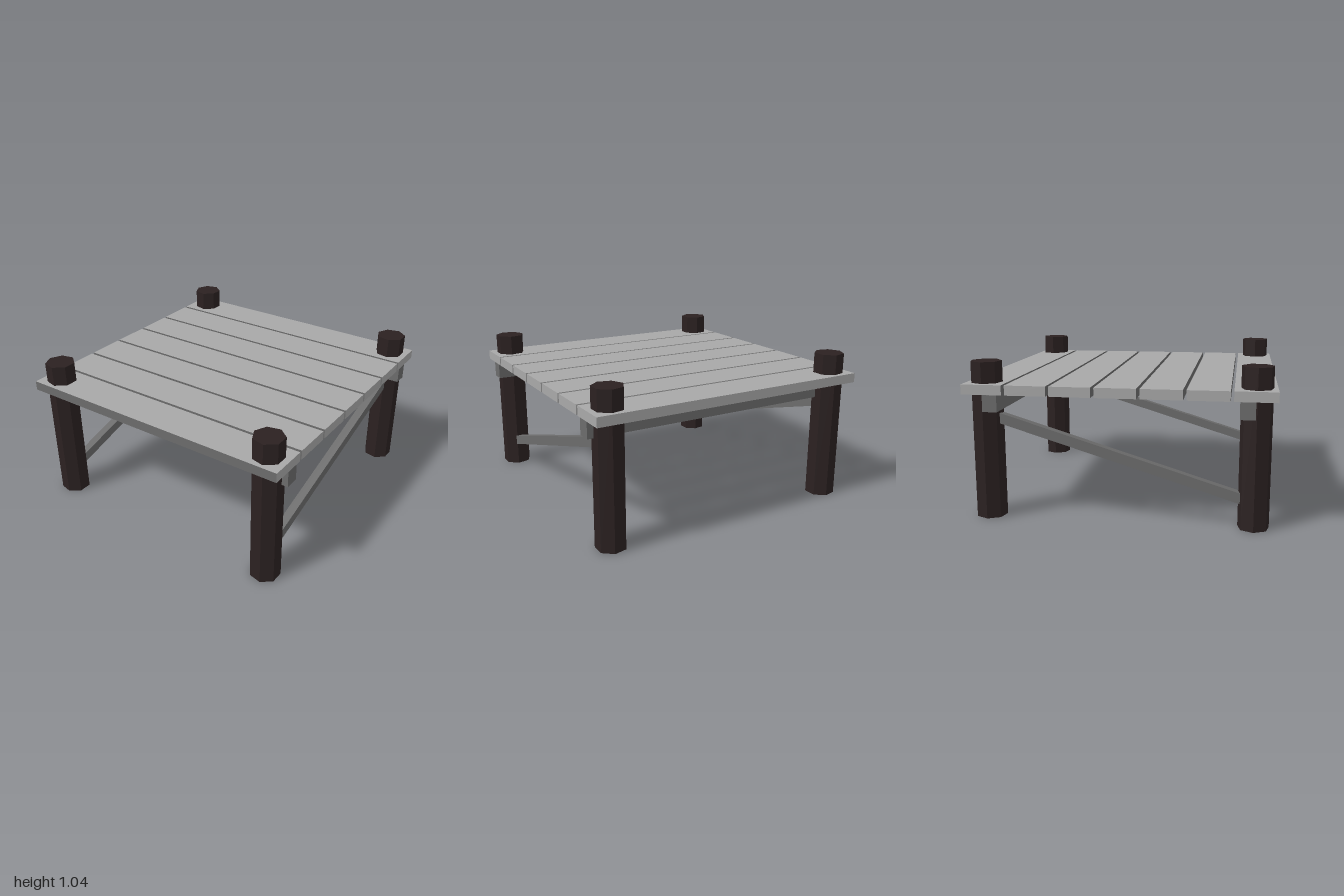
import * as THREE from 'three';

export function createModel() {
  const model = new THREE.Group();
  model.name = 'dock';

  const mat = (name, color, flatShading = false) => {
    const m = new THREE.MeshStandardMaterial({ color, flatShading });
    m.name = name;
    return m;
  };
  const paleWood = mat('paleWood', 0xa8a8a8);
  const greyWood = mat('greyWood', 0x6c6c6c);
  const darkWood = mat('darkWood', 0x2b2121, true);

  const add = (name, geometry, material, x, y, z) => {
    const mesh = new THREE.Mesh(geometry, material);
    mesh.name = name;
    mesh.position.set(x, y, z);
    model.add(mesh);
    return mesh;
  };

  // Deck planks: pale, with darker front edge and underside
  const plankGeo = new THREE.BoxGeometry(1.99, 0.065, 0.268);
  const plankFaces = [paleWood, paleWood, paleWood, greyWood, greyWood, paleWood];
  for (let i = 0; i < 7; i++) {
    add('plank' + (i + 1), plankGeo, plankFaces, 0, 0.873, (i - 3) * 0.2887);
  }

  // Cross beams under the first and last plank
  const beamGeo = new THREE.BoxGeometry(1.99, 0.11, 0.096);
  add('frontBeam', beamGeo, greyWood, 0, 0.785, 0.817);
  add('backBeam', beamGeo, greyWood, 0, 0.785, -0.813);

  // Seven-sided posts and the sloping brace on each side
  const postGeo = new THREE.CylinderGeometry(0.103, 0.103, 1.045, 7, 1, false, -Math.PI / 2);
  const slope = Math.atan2(0.465, 1.54);
  const braceGeo = new THREE.BoxGeometry(0.058, 0.067, 1.74 / Math.cos(slope));
  for (const [side, x] of [['left', 0.86], ['right', -0.86]]) {
    add(side + 'FrontPost', postGeo, darkWood, x, 0.5225, 0.873);
    add(side + 'BackPost', postGeo, darkWood, x, 0.5225, -0.873);
    add(side + 'Brace', braceGeo, greyWood, x, 0.433, 0).rotation.x = slope;
  }

  return model;
}
